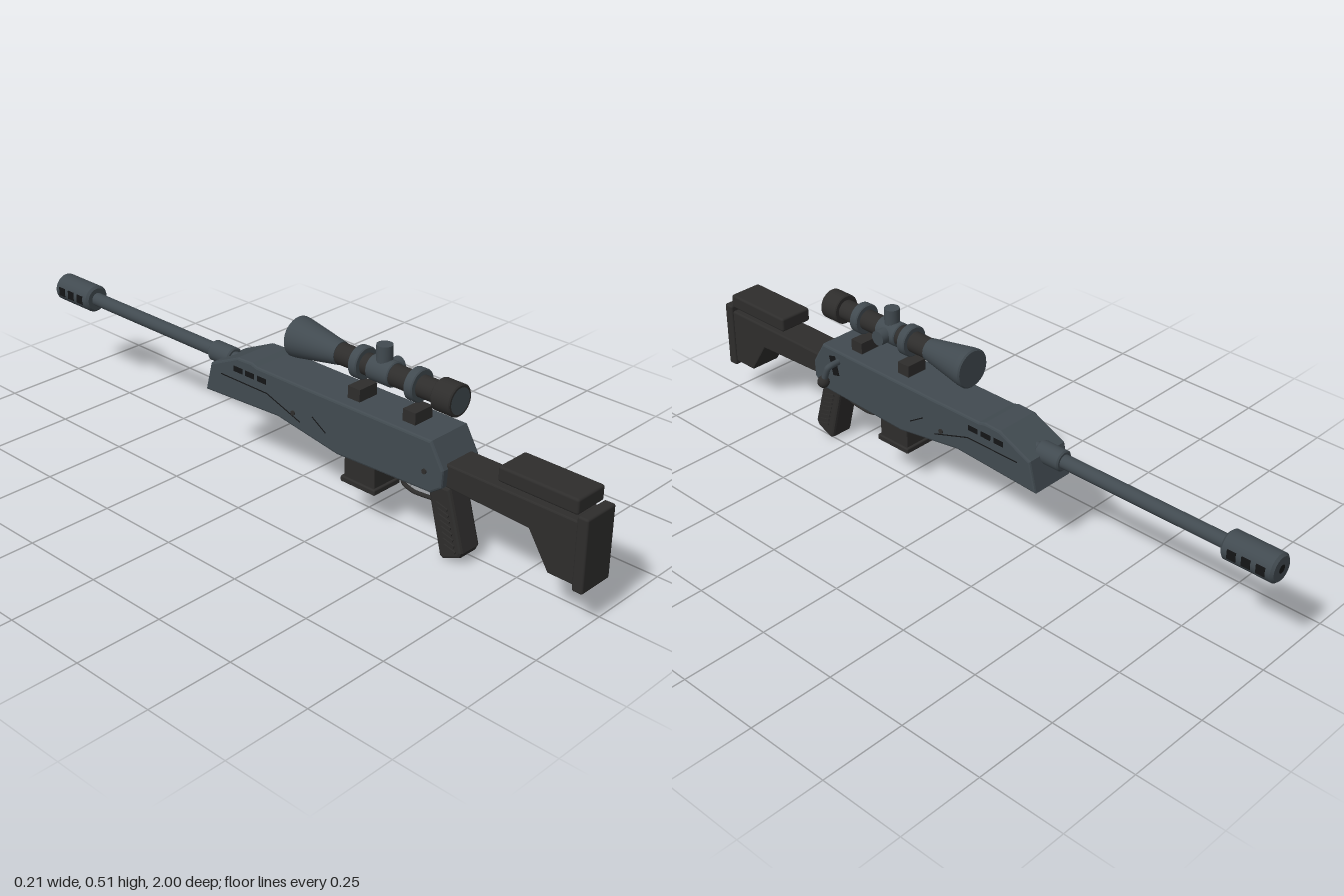
import * as THREE from 'three';
import { RoundedBoxGeometry } from 'three/addons/geometries/RoundedBoxGeometry.js';

const CX = -0.028; // centre plane of the rifle
const mat = (name, color) => {
  const m = new THREE.MeshStandardMaterial({ color });
  m.name = name;
  return m;
};

export function createModel() {
  const slate = mat('slate metal', 0x414a50);
  const black = mat('black polymer', 0x2e2d2c);
  const dark = mat('recess black', 0x141516);
  const root = new THREE.Group();
  root.name = 'rifle';

  const add = (name, geo, material, x = CX, y = 0, z = 0, parent = root) => {
    const m = new THREE.Mesh(geo, material);
    m.name = name;
    m.position.set(x, y, z);
    parent.add(m);
    return m;
  };
  const box = (name, w, h, d, material, x, y, z, r = 0) =>
    add(name, r ? new RoundedBoxGeometry(w, h, d, 2, r) : new THREE.BoxGeometry(w, h, d), material, x, y, z);

  // side profile given as [z, y], extruded across x with a small bevel
  const slab = (name, pts, width, bevel, material) => {
    const shape = new THREE.Shape(pts.map(([z, y]) => new THREE.Vector2(z, y)));
    const geo = new THREE.ExtrudeGeometry(shape, {
      depth: width - 2 * bevel, bevelEnabled: bevel > 0, bevelSize: bevel,
      bevelThickness: bevel, bevelOffset: -bevel, bevelSegments: 2,
    });
    geo.translate(0, 0, -(width - 2 * bevel) / 2).rotateY(-Math.PI / 2);
    return add(name, geo, material);
  };

  // closed turned part along z; points are [radius, z] with z rising
  const turned = (name, pts, material, y, sides = 32) => {
    const v = pts.map(([r, z]) => new THREE.Vector2(r, z));
    const geo = new THREE.LatheGeometry(v, sides).rotateX(Math.PI / 2);
    return add(name, geo, material, CX, y);
  };
  const rod = (name, r, z0, z1, material, y, c = 0.004) =>
    turned(name, [[0, z0], [r - c, z0], [r - c, z0], [r, z0 + c], [r, z0 + c],
      [r, z1 - c], [r, z1 - c], [r - c, z1], [r - c, z1], [0, z1]], material, y);

  // receiver and fore-end
  slab('receiver', [[0.578, 0.275], [0.537, 0.345], [0.1, 0.342], [-0.08, 0.342], [-0.1, 0.348],
    [-0.155, 0.346], [-0.262, 0.297], [-0.285, 0.208], [0.0, 0.222], [0.22, 0.188],
    [0.54, 0.2], [0.575, 0.225]], 0.142, 0.006, slate);

  // stock
  slab('stock', [[0.972, 0.286], [0.56, 0.286], [0.56, 0.222], [0.83, 0.211], [0.893, 0.113],
    [0.972, 0.113]], 0.1, 0.004, black);
  box('buttPlate', 0.112, 0.205, 0.032, black, CX, 0.202, 0.984, 0.006);
  box('cheekRest', 0.106, 0.043, 0.236, black, CX, 0.3235, 0.85, 0.007);
  box('cheekRestMount', 0.05, 0.03, 0.12, black, CX, 0.292, 0.87);

  // grip with side ribs
  slab('grip', [[0.574, 0.21], [0.622, 0.04], [0.614, 0.024], [0.562, 0.001], [0.55, 0.008],
    [0.504, 0.19], [0.51, 0.21]], 0.074, 0.008, black);
  for (let i = 0; i < 8; i++) {
    const rib = box('gripRib', 0.082, 0.007, 0.038, black, CX, 0.042 + i * 0.016, 0.585 - i * 0.0045);
    rib.rotation.x = 0.25;
  }

  // magazine
  slab('magazine', [[0.33, 0.21], [0.33, 0.11], [0.222, 0.11], [0.224, 0.21]], 0.09, 0.004, black);
  box('magazineBase', 0.102, 0.017, 0.122, black, CX, 0.109, 0.276, 0.004);

  // trigger and guard
  const tube = (name, pts, r, material, x = CX) =>
    add(name, new THREE.TubeGeometry(new THREE.CatmullRomCurve3(
      pts.map(p => new THREE.Vector3(...p)), false, 'catmullrom', 0.3), 32, r, 10), material, x);
  tube('triggerGuard', [[0, 0.155, 0.52], [0, 0.138, 0.495], [0, 0.132, 0.43], [0, 0.142, 0.394],
    [0, 0.17, 0.386], [0, 0.205, 0.395]], 0.006, black);
  tube('trigger', [[0, 0.205, 0.455], [0, 0.182, 0.455], [0, 0.16, 0.435]], 0.006, black);

  // barrel and muzzle brake
  rod('barrel', 0.02, -0.86, -0.2, slate, 0.294);
  rod('barrelCollar', 0.03, -0.322, -0.24, slate, 0.294);
  rod('muzzleBrake', 0.041, -1, -0.846, slate, 0.294, 0.007);
  add('bore', new THREE.CircleGeometry(0.012, 24).rotateY(Math.PI), dark, CX, 0.294, -1.0005);

  // bolt handle and its slot
  box('boltSlot', 0.004, 0.06, 0.024, dark, 0.0435, 0.293, 0.488).rotation.x = 0.25;
  tube('boltHandle', [[0.03, 0.312, 0.472], [0.07, 0.31, 0.472], [0.081, 0.304, 0.475],
    [0.085, 0.265, 0.488]], 0.0095, slate, 0);
  add('boltKnob', new THREE.SphereGeometry(0.018, 24, 16), black, 0.086, 0.257, 0.49);

  // details mirrored on both flanks
  const seam = (side, a, b) => {
    const len = Math.hypot(b[0] - a[0], b[1] - a[1]);
    const m = box('panelSeam', 0.002, 0.003, len, dark, CX + side * 0.071,
      (a[1] + b[1]) / 2, (a[0] + b[0]) / 2);
    m.rotation.x = -Math.atan2(b[1] - a[1], b[0] - a[0]);
  };
  for (const s of [-1, 1]) {
    for (let i = 0; i < 3; i++) {
      box('foreEndVent', 0.004, 0.016, 0.034, dark, CX + s * 0.07, 0.311, -0.06 - i * 0.046);
      box('brakeSlot', 0.008, 0.026, 0.026, dark, CX + s * 0.0375, 0.294, -0.882 - i * 0.042);
    }
    seam(s, [0.18, 0.237], [0.13, 0.268]);
    seam(s, [0.085, 0.236], [-0.04, 0.278]);
    seam(s, [-0.04, 0.278], [-0.22, 0.278]);
    for (const [z, y] of [[0.06, 0.255], [0.52, 0.255]])
      add('pin', new THREE.CylinderGeometry(0.007, 0.007, 0.008, 16).rotateZ(Math.PI / 2),
        black, CX + s * 0.071, y, z);
  }

  // scope
  const SY = 0.441;
  rod('scopeTube', 0.03, 0.13, 0.53, black, SY);
  rod('eyepiece', 0.044, 0.505, 0.567, black, SY, 0.003);
  add('rearLens', new THREE.CircleGeometry(0.036, 32), slate, CX, SY, 0.5675);
  turned('objectiveBell', [[0, 0.008], [0.053, 0.008], [0.053, 0.008], [0.057, 0.012], [0.057, 0.012],
    [0.056, 0.028], [0.056, 0.028], [0.032, 0.168], [0.032, 0.168], [0, 0.168]], slate, SY);
  add('frontLens', new THREE.CircleGeometry(0.046, 32).rotateY(Math.PI), slate, CX, SY, 0.0075);
  for (const z of [0.432, 0.243]) {
    rod('scopeRing', 0.045, z - 0.014, z + 0.014, slate, SY, 0.003);
    box('scopeMount', 0.066, 0.045, 0.042, black, CX, 0.3555, z);
  }
  rod('turretBand', 0.035, 0.28, 0.355, slate, SY, 0.003);
  add('elevationTurret', new THREE.CylinderGeometry(0.022, 0.022, 0.08, 24), slate, CX, 0.475, 0.317);
  add('windageTurret', new THREE.CylinderGeometry(0.022, 0.022, 0.058, 24).rotateZ(Math.PI / 2),
    slate, 0.001, SY, 0.317);

  return root;
}
